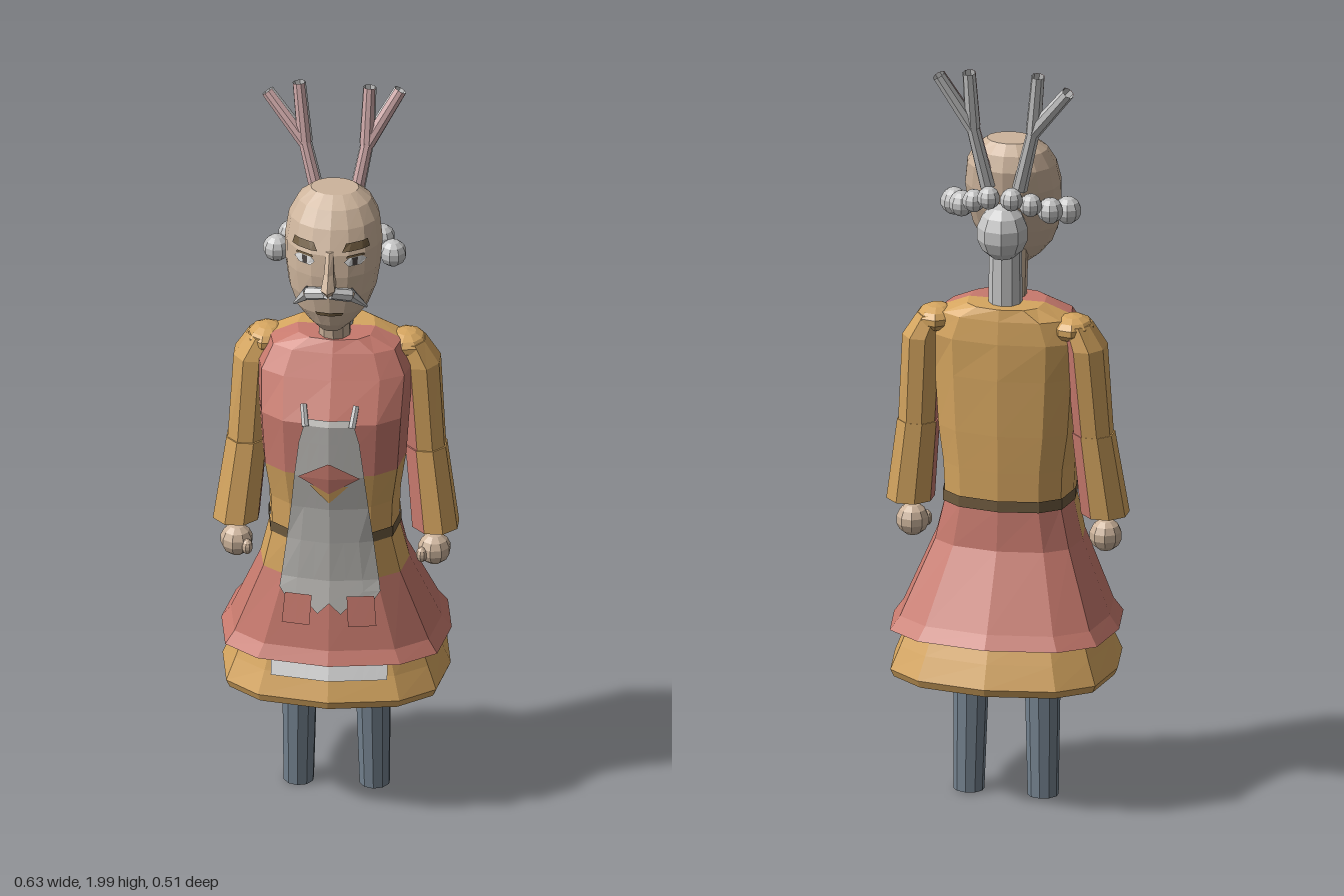
import * as THREE from 'three';

const mat = (name, color) => {
  const m = new THREE.MeshStandardMaterial({ color, side: THREE.DoubleSide });
  m.name = name;
  return m;
};

// Outlines seen from above, anticlockwise from the front
const quarter = [[0, 1], [0.62, 0.88], [0.92, 0.6], [1, 0]];
const coatOutline = [
  ...quarter,
  ...quarter.slice(0, 3).reverse().map(([x, z]) => [x, -z]),
  ...quarter.slice(1).map(([x, z]) => [-x, -z]),
  ...quarter.slice(1, 3).reverse().map(([x, z]) => [-x, z]),
];
const roundOutline = (n, turn = 0) => Array.from({ length: n }, (_, i) => {
  const a = ((i + turn) / n) * Math.PI * 2;
  return [Math.sin(a), Math.cos(a)];
});

// Torso and skirt sections: y, half width, front z, back z
const skirtRings = [[0.465, 0.297, 0.235, -0.25], [0.5, 0.272, 0.215, -0.225],
  [0.69, 0.192, 0.178, -0.118], [0.8, 0.166, 0.178, -0.105]];
const torsoRings = [[0.8, 0.166, 0.178, -0.105], [0.9, 0.17, 0.182, -0.108], [1.0, 0.185, 0.198, -0.11],
  [1.15, 0.195, 0.2, -0.11], [1.25, 0.2, 0.14, -0.108], [1.31, 0.17, 0.105, -0.1], [1.34, 0.1, 0.085, -0.092]];
const hemRings = [[0.34, 0.285, 0.232, -0.25], [0.36, 0.294, 0.238, -0.258],
  [0.42, 0.27, 0.212, -0.23], [0.5, 0.24, 0.185, -0.19]];
const headRings = [[1.405, 0.03, 0.155, 0.1], [1.43, 0.06, 0.172, 0.06], [1.47, 0.093, 0.185, 0.03],
  [1.52, 0.113, 0.192, 0], [1.58, 0.123, 0.193, -0.03], [1.64, 0.126, 0.185, -0.052],
  [1.7, 0.117, 0.155, -0.055], [1.74, 0.095, 0.125, -0.04], [1.765, 0.062, 0.085, -0.01]];

function ringAt(rings, y) {
  let k = 0;
  while (k < rings.length - 2 && y > rings[k + 1][0]) k++;
  const t = (y - rings[k][0]) / (rings[k + 1][0] - rings[k][0]);
  return rings[k].map((v, i) => v + (rings[k + 1][i] - v) * t);
}

// Front depth of a lofted surface at x, y
function frontZ(rings, outline, x, y) {
  const [, rx, zf, zb] = ringAt(rings, y);
  const t = Math.min(Math.abs(x) / rx, 1);
  let i = 0;
  while (outline[i + 1][0] < t - 1e-6 && outline[i + 1][0] > outline[i][0]) i++;
  const [a, b] = [outline[i], outline[i + 1]];
  const f = a[1] + (b[1] - a[1]) * (t - a[0]) / (b[0] - a[0]);
  return (zf + zb) / 2 + f * (zf - zb) / 2;
}

// Faceted geometry from quads, with one material group per quad
function facets(quads) {
  const g = new THREE.BufferGeometry(), pos = [];
  for (const { p, m } of quads) {
    const start = pos.length / 3;
    for (const i of p.length === 4 ? [0, 1, 2, 0, 2, 3] : [0, 1, 2]) pos.push(...p[i]);
    g.addGroup(start, pos.length / 3 - start, m);
  }
  g.setAttribute('position', new THREE.Float32BufferAttribute(pos, 3));
  g.computeVertexNormals();
  return g;
}

// Rings are y, half width, front z, back z, centre x
function loft(rings, outline, caps, pick = () => 0) {
  const n = outline.length, quads = [];
  const rows = rings.map(([y, rx, zf, zb, xc = 0]) =>
    outline.map(([x, z]) => [xc + x * rx, y, (zf + zb) / 2 + z * (zf - zb) / 2]));
  for (let k = 0; k < rows.length - 1; k++) for (let i = 0; i < n; i++) {
    const j = (i + 1) % n;
    quads.push({ p: [rows[k][i], rows[k][j], rows[k + 1][j], rows[k + 1][i]], m: pick(i, k) });
  }
  if (caps) [0, rows.length - 1].forEach((k) => {
    const [y, , zf, zb, xc = 0] = rings[k], c = [xc, y, (zf + zb) / 2];
    for (let i = 0; i < n; i++) {
      const a = rows[k][i], b = rows[k][(i + 1) % n];
      quads.push({ p: k ? [a, b, c] : [b, a, c], m: pick(i, k) });
    }
  });
  return facets(quads);
}

// Thin painted patch: rows of y, left x, right x from the bottom up
function patch(rings, outline, rows, off, cols = 6, ragged = 0) {
  const grid = rows.map(([y, a, b], r) => Array.from({ length: cols + 1 }, (_, i) => {
    const x = a + (b - a) * i / cols, yy = y + (r === 0 && i % 2 ? ragged : 0);
    return [x, yy, frontZ(rings, outline, x, yy) + off];
  }));
  const quads = [];
  for (let r = 0; r < grid.length - 1; r++) for (let i = 0; i < cols; i++)
    quads.push({ p: [grid[r][i], grid[r][i + 1], grid[r + 1][i + 1], grid[r + 1][i]], m: 0 });
  return facets(quads);
}

function flat(g) {
  const f = g.toNonIndexed();
  f.computeVertexNormals();
  return f;
}
const ball = (r, x, y, z, sx = 1, sy = 1, sz = 1) =>
  flat(new THREE.SphereGeometry(r, 9, 7).scale(sx, sy, sz).translate(x, y, z));
function rod(a, b, r0, r1, sides = 8, start = 0, sweep = Math.PI * 2) {
  const A = new THREE.Vector3(...a), B = new THREE.Vector3(...b), d = B.clone().sub(A);
  const g = new THREE.CylinderGeometry(r1, r0, d.length(), sides, 1, sweep < 6, start, sweep);
  g.applyQuaternion(new THREE.Quaternion().setFromUnitVectors(new THREE.Vector3(0, 1, 0), d.normalize()));
  return flat(g.translate(...A.add(B).multiplyScalar(0.5).toArray()));
}

export function createModel() {
  const model = new THREE.Group();
  const skin = mat('skin', 0xcdb49c), ochre = mat('ochre cloth', 0xd6a660), red = mat('red cloth', 0xc87a6e),
    grey = mat('grey hair', 0xc6c6c6), blue = mat('blue grey stocking', 0x74828f),
    brown = mat('brown', 0x705c40), pink = mat('pink', 0xd2acac), apronGrey = mat('apron grey', 0xbab8b4),
    dark = mat('dark', 0x4a4442), white = mat('white', 0xdedede);
  const add = (name, geo, m) => {
    const mesh = new THREE.Mesh(geo, geo.groups.length && !Array.isArray(m) ? [m] : m);
    mesh.name = name;
    model.add(mesh);
  };

  // Coat and skirt
  const isFront = (i) => i < 3 || i > 8;
  add('torso', loft(torsoRings, coatOutline, true, (i, k) => (isFront(i) && k >= 2 ? 1 : 0)), [ochre, red]);
  add('skirt', loft(skirtRings, coatOutline, false, (i, k) => (isFront(i) && k === 2 ? 1 : 0)), [red, ochre]);
  add('hem', loft(hemRings, coatOutline, false), ochre);
  add('hemRim', loft([[0.341, 0.268, 0.215, -0.232], [0.34, 0.285, 0.232, -0.25]], coatOutline, false), pink);
  add('belt', loft([[0.795, 0.171, 0.18, -0.111], [0.825, 0.171, 0.182, -0.111]], coatOutline, false), brown);

  // Apron and its decoration
  const body = [...skirtRings, ...torsoRings.slice(1)];
  const bodyPatch = (name, rows, off, m, cols, ragged) =>
    add(name, patch(body, coatOutline, rows, off, cols, ragged), m);
  const sym = (rows) => rows.map(([y, w]) => [y, -w, w]);
  bodyPatch('apron', sym([[0.6, 0.09], [0.66, 0.13], [0.69, 0.126], [0.8, 0.112], [0.9, 0.1],
    [1.0, 0.09], [1.1, 0.078], [1.15, 0.065], [1.165, 0.06]]), 0.009, apronGrey, 6, 0.03);
  bodyPatch('apronEmblem', sym([[0.955, 0.002], [1.0, 0.08], [1.045, 0.002]]), 0.014, red, 2);
  bodyPatch('apronChevron', sym([[0.925, 0.002], [0.975, 0.05]]), 0.012, ochre, 2);
  add('hemBand', patch(hemRings, coatOutline, sym([[0.415, 0.15], [0.475, 0.15]]), 0.009, 10), white);

  for (const s of [-1, 1]) {
    const span = (a, b) => (s > 0 ? [a, b] : [-b, -a]);
    bodyPatch('pocket', [[0.57, ...span(0.05, 0.122)], [0.65, ...span(0.045, 0.115)]], 0.014, red, 2);
    add('apronStrap', rod([s * 0.06, 1.15, 0.205], [s * 0.068, 1.2, 0.175], 0.01, 0.009, 6), grey);

    // Sleeves with red inner sides
    const inner = (i) => (s > 0 ? i === 5 || i === 6 : i === 1 || i === 2) ? 1 : 0;
    const arm = [[0.99, 0.052, 0.04, -0.068, s * 0.232], [1.24, 0.053, 0.045, -0.095, s * 0.216],
      [1.3, 0.04, 0.03, -0.08, s * 0.19]];
    const cuff = [[0.775, 0.063, 0.073, -0.058, s * 0.257], [1.0, 0.056, 0.044, -0.07, s * 0.231]];
    add('upperSleeve', loft(arm, roundOutline(8, 0.5), true, inner), [ochre, red]);
    add('lowerSleeve', loft(cuff, roundOutline(8, 0.5), true, inner), [ochre, red]);
    add('shoulderCap', ball(0.055, s * 0.18, 1.285, -0.025, 1, 0.65, 1.15), ochre);
    add('hand', ball(0.043, s * 0.255, 0.71, 0.02), skin);
    add('thumb', ball(0.015, s * 0.225, 0.705, 0.05, 1, 1.4, 1), skin);

    // Legs
    add('leg', rod([s * 0.098, 0, -0.014], [s * 0.092, 0.5, 0.002], 0.04, 0.05, 10), blue);

    // Hair curls
    [[0.036, 0.15, 1.58, 0.04], [0.034, 0.117, 1.595, -0.015], [0.03, 0.075, 1.62, -0.055],
      [0.03, 0.03, 1.64, -0.08]].forEach(([r, x, y, z]) => add('hairCurl', ball(r, s * x, y, z), grey));

    // Eyes, brows and moustache
    const face = (name, rows, off, m) => add(name, patch(headRings, roundOutline(16), rows, off, 4), m);
    face('eyeWhite', [[1.612, ...span(0.05, 0.08)], [1.624, ...span(0.038, 0.093)], [1.637, ...span(0.05, 0.08)]], 0.005, white);
    face('pupil', [[1.615, ...span(0.059, 0.071)], [1.635, ...span(0.058, 0.072)]], 0.008, dark);
    face('eyelid', [[1.636, ...span(0.042, 0.09)], [1.642, ...span(0.046, 0.085)]], 0.007, brown);
    face('eyebrow', [[1.652, ...span(0.032, 0.1)], [1.672, ...span(0.042, 0.094)]], 0.009, brown);
    add('moustache', rod([s * 0.005, 1.55, 0.218], [s * 0.055, 1.535, 0.195], 0.016, 0.018, 7), grey);
    add('moustacheTip', rod([s * 0.052, 1.538, 0.195], [s * 0.093, 1.483, 0.155], 0.018, 0.004, 7), grey);
  }

  // Head, neck, nose and mouth
  add('head', loft(headRings, roundOutline(16), true), skin);
  add('neck', rod([0, 1.32, 0.035], [0, 1.5, 0.065], 0.042, 0.04, 10), skin);
  add('nose', loft([[1.545, 0.012, 0.235, 0.17], [1.565, 0.021, 0.255, 0.17], [1.6, 0.014, 0.222, 0.17],
    [1.65, 0.011, 0.188, 0.16]], roundOutline(6), true), skin);
  add('mouth', patch(headRings, roundOutline(16), sym([[1.468, 0.03], [1.478, 0.038]]), 0.007, 4), brown);

  // Bun and hair tail
  add('hairBun', ball(0.068, 0, 1.54, -0.052, 1, 1.1, 1), grey);
  add('hairTail', rod([0, 1.32, -0.02], [0, 1.52, -0.02], 0.044, 0.042, 10), grey);

  // Antlers: base, fork and two tips, pink towards the front
  const antlers = [
    [[-0.045, 1.66, -0.05], [-0.088, 1.83, -0.08], [-0.187, 1.955, -0.11], [-0.105, 1.99, -0.1]],
    [[0.04, 1.66, -0.05], [0.072, 1.83, -0.08], [0.155, 1.975, -0.11], [0.077, 1.985, -0.1]],
  ];
  for (const [base, fork, tipA, tipB] of antlers)
    for (const [a, b] of [[base, fork], [fork, tipA], [fork, tipB]]) {
      add('antler', rod(a, b, 0.02, 0.017, 8), grey);
      add('antlerFront', rod(a, b, 0.0215, 0.0185, 3, -0.95, 1.9), pink);
    }
  return model;
}
